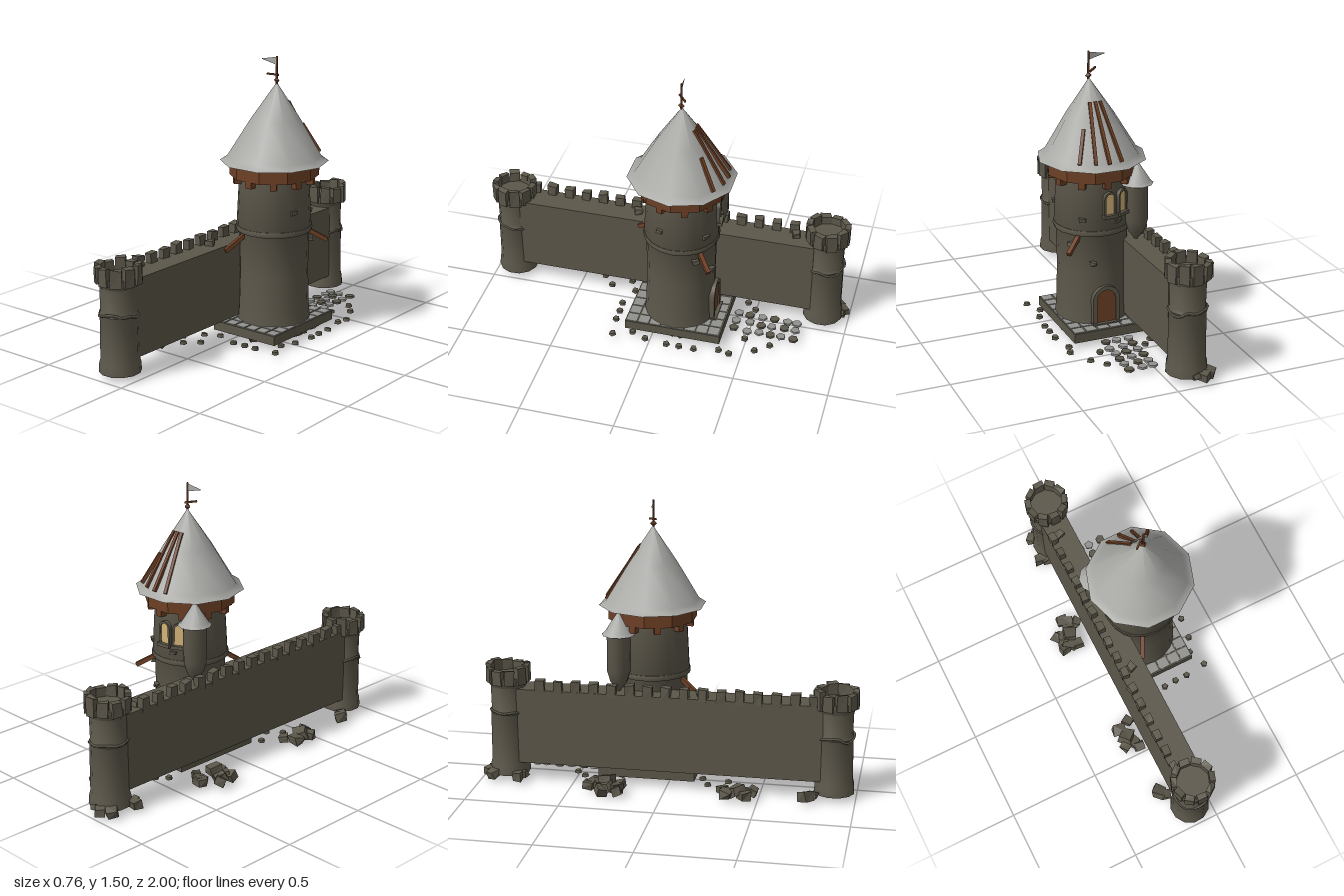
import * as THREE from 'three';
import { toCreasedNormals } from 'three/addons/utils/BufferGeometryUtils.js';

const paint = (name, color, extra = {}) => Object.assign(new THREE.MeshStandardMaterial({ color, ...extra }), { name });

export function createModel() {
  const stone = paint('stone', 0x5c574a);
  const paleStone = paint('pale stone', 0x91918e);
  const slate = paint('pale roof', 0xa9a9a6, { side: THREE.DoubleSide });
  const wood = paint('wood', 0x6e4025);
  const glow = paint('window glow', 0xd2b478);
  const root = new THREE.Group();
  root.name = 'castle';

  let seed = 7;
  const rnd = (a = 0, b = 1) => {
    seed = (seed * 16807) % 2147483647;
    return a + (b - a) * (seed / 2147483647);
  };
  const group = (name, parent = root, x = 0, y = 0, z = 0) => {
    const g = new THREE.Group();
    g.name = name;
    g.position.set(x, y, z);
    parent.add(g);
    return g;
  };
  const add = (parent, name, geo, mat, x = 0, y = 0, z = 0, rx = 0, ry = 0, rz = 0) => {
    const m = new THREE.Mesh(geo, mat);
    m.name = name;
    m.position.set(x, y, z);
    m.rotation.set(rx, ry, rz);
    parent.add(m);
    return m;
  };
  // Turned shape with crisp rims and smooth sides
  const turned = (pts, sides) => toCreasedNormals(
    new THREE.LatheGeometry(pts.map(p => new THREE.Vector2(...p)), sides, Math.PI / 10), 0.75);
  // Box whose eight corners are nudged for a rough-hewn look
  const roughBox = (w, h, d, amount = 0.15) => {
    const g = new THREE.BoxGeometry(w, h, d).toNonIndexed();
    const nudges = Array.from({ length: 8 }, () => [rnd(-1, 1), rnd(-1, 1), rnd(-1, 1)]);
    const p = g.attributes.position;
    for (let i = 0; i < p.count; i++) {
      const n = nudges[(p.getX(i) > 0 ? 1 : 0) + (p.getY(i) > 0 ? 2 : 0) + (p.getZ(i) > 0 ? 4 : 0)];
      p.setXYZ(i, p.getX(i) + n[0] * w * amount, p.getY(i) + n[1] * h * amount, p.getZ(i) + n[2] * d * amount);
    }
    g.computeVertexNormals();
    return g;
  };
  // Beam between two points
  const beam = (parent, name, a, b, t) => {
    const from = new THREE.Vector3(...a), to = new THREE.Vector3(...b);
    const m = add(parent, name, new THREE.BoxGeometry(t, t, from.distanceTo(to)), wood);
    m.position.copy(from).lerp(to, 0.5);
    m.lookAt(to);
    return m;
  };
  const archPath = (T, w, h) => {
    const s = new T();
    s.moveTo(-w, 0);
    s.lineTo(w, 0);
    s.lineTo(w, h - w);
    s.absarc(0, h - w, w, 0, Math.PI, false);
    s.lineTo(-w, 0);
    return s;
  };

  // Main tower: plinth, shaft, ring
  const keep = group('mainTower', root, 0.0875, 0, -0.115);
  add(keep, 'plinth', new THREE.BoxGeometry(0.405, 0.05, 0.52), stone, 0, 0.055, 0);
  for (let i = 0; i < 6; i++) for (let j = 0; j < 8; j++) {
    add(keep, 'plinthTile', new THREE.BoxGeometry(0.058, 0.006, 0.056), paleStone,
      -0.167 + i * 0.067, 0.081, -0.224 + j * 0.064);
  }
  add(keep, 'shaft', turned([[0, 0.08], [0.195, 0.08], [0.189, 0.15], [0.183, 0.35], [0.187, 0.58],
    [0.198, 0.6], [0.184, 0.87], [0, 0.87]], 20), stone);
  add(keep, 'stoneRing', turned([[0.18, 0.568], [0.2, 0.572], [0.204, 0.585], [0.2, 0.6], [0.18, 0.604]], 20), stone);

  // Wooden gallery on brackets
  const band = new THREE.CylinderGeometry(0.236, 0.236, 0.08, 10, 1, false, Math.PI / 10).toNonIndexed();
  band.computeVertexNormals();
  add(keep, 'woodenGallery', band, wood, 0, 0.907, 0);
  for (let i = 0; i < 10; i++) {
    const a = i * Math.PI / 5;
    add(keep, 'bracket', new THREE.BoxGeometry(0.035, 0.036, 0.06), wood,
      Math.sin(a) * 0.19, 0.85, Math.cos(a) * 0.19, 0, a, 0);
  }

  // Conical roof with a slightly leaning tip
  const roof = new THREE.LatheGeometry([[0.285, 0.943], [0.247, 0.968], [0.13, 1.165], [0, 1.36]]
    .map(p => new THREE.Vector2(...p)), 10, Math.PI / 10);
  const rp = roof.attributes.position;
  for (let i = 0; i < rp.count; i++) rp.setX(i, rp.getX(i) + 0.014 * (rp.getY(i) - 0.943) / 0.417);
  add(keep, 'roof', roof, slate);

  // Planks patching the roof
  [[[0.02, 0.975, -0.35], [0.072, 1.25, -0.183]], [[0.09, 0.975, -0.362], [0.097, 1.25, -0.183]],
    [[0.16, 0.975, -0.35], [0.125, 1.25, -0.183]], [[0.235, 0.975, -0.315], [0.18, 1.13, -0.235]]]
    .forEach(([a, b]) => beam(root, 'roofPlank', a, b, 0.017));
  beam(root, 'brokenBeam', [0.02, 0.56, 0.05], [-0.03, 0.485, 0.15], 0.022);
  beam(root, 'brokenBeam', [0.2, 0.57, -0.23], [0.295, 0.5, -0.31], 0.022);

  // Flag
  const flag = group('flag', root, 0.103, 0, -0.112);
  add(flag, 'finial', new THREE.OctahedronGeometry(0.018), wood, 0, 1.37, 0);
  add(flag, 'pole', new THREE.CylinderGeometry(0.005, 0.006, 0.145, 6), wood, 0, 1.424, 0);
  beam(flag, 'brokenPole', [0, 1.378, 0], [-0.048, 1.42, 0.002], 0.009);
  const cloth = new THREE.Shape([[0, 1.492], [-0.098, 1.474], [0, 1.45]].map(p => new THREE.Vector2(...p)));
  add(flag, 'pennant', new THREE.ShapeGeometry(cloth), slate, 0, 0, 0, 0, 0.08, 0);

  // Arched openings with stone surrounds
  const opening = (name, angle, r, y, w, h, t, mat) => {
    const g = group(name, keep, 0, y, 0);
    g.rotation.y = angle;
    const pane = { depth: 0.008, bevelEnabled: false, curveSegments: 8 };
    add(g, name + 'Pane', new THREE.ExtrudeGeometry(archPath(THREE.Shape, w, h), pane), mat, 0, 0, r - 0.003);
    const frame = archPath(THREE.Shape, w + t, h + t);
    frame.holes.push(archPath(THREE.Path, w, h).translateY ? null : archPath(THREE.Path, w, h));
    add(g, name + 'Frame', new THREE.ExtrudeGeometry(frame, { ...pane, depth: 0.04 }), stone, 0, 0, r - 0.028);
    add(g, name + 'Sill', new THREE.BoxGeometry(2 * (w + t) + 0.01, 0.018, 0.05), stone, 0, -0.008, r);
  };
  opening('window', Math.PI + 0.1, 0.192, 0.685, 0.024, 0.11, 0.011, glow);
  opening('window', Math.PI + 0.52, 0.192, 0.685, 0.024, 0.11, 0.011, glow);
  opening('door', Math.PI, 0.188, 0.09, 0.052, 0.18, 0.022, wood);
  // Loose blocks standing proud of the shaft
  [[2.5, 0.66], [2.2, 0.52], [1.2, 0.7], [3.5, 0.64], [2.8, 0.42]].forEach(([a, y]) =>
    add(keep, 'proudBlock', roughBox(0.035, 0.022, 0.03), stone, Math.sin(a) * 0.19, y, Math.cos(a) * 0.19, 0, a, 0));

  // Small side turret
  const turret = group('turret', root, -0.1, 0, -0.26);
  add(turret, 'turretBody', turned([[0, 0.5], [0.045, 0.56], [0.062, 0.62], [0.062, 0.83], [0, 0.83]], 10), stone);
  add(turret, 'turretRoof', new THREE.LatheGeometry([[0.088, 0.818], [0.072, 0.832], [0, 0.945]]
    .map(p => new THREE.Vector2(...p)), 10), slate);

  // Curtain wall with battlements on the outer edge
  const wall = group('curtainWall');
  add(wall, 'wallBody', new THREE.BoxGeometry(0.145, 0.41, 1.64), stone, -0.107, 0.305, 0.02);
  for (let i = 0; i < 16; i++) {
    add(wall, 'merlon', roughBox(0.038, rnd(0.06, 0.075), 0.048, 0.08), stone,
      -0.162, 0.528, 0.775 - i * 0.0965, 0, rnd(-0.12, 0.12), 0);
  }
  add(wall, 'fallenBlock', roughBox(0.04, 0.03, 0.04), stone, -0.11, 0.52, 0.175, 0, 0.3, 0);
  add(wall, 'fallenBlock', roughBox(0.05, 0.03, 0.04), stone, -0.12, 0.52, -0.69, 0, 0.2, 0);

  // Corner towers
  const cornerTower = (z, top, crackY) => {
    const g = group('cornerTower', root, -0.11, 0, z);
    add(g, 'towerBody', turned([[0, 0.03], [0.108, 0.03], [0.105, 0.075], [0.098, 0.1], [0.096, crackY - 0.01],
      [0.1, crackY], [0.092, crackY + 0.015], [0.095, top], [0, top]], 12), stone);
    // Jagged crack line around the shaft
    const loop = Array.from({ length: 14 }, (_, i) => {
      const a = i * Math.PI / 7;
      return new THREE.Vector3(Math.sin(a) * 0.097, crackY + rnd(-0.016, 0.016), Math.cos(a) * 0.097);
    });
    add(g, 'crackLedge', new THREE.TubeGeometry(new THREE.CatmullRomCurve3(loop, true), 42, 0.007, 4, true), stone);
    add(g, 'towerPlatform', turned([[0, top - 0.03], [0.097, top - 0.03], [0.11, top], [0.11, top + 0.025], [0, top + 0.025]], 10), stone);
    for (let i = 0; i < 10; i++) {
      const a = i * Math.PI / 5, h = rnd(0.075, 0.1);
      add(g, 'towerMerlon', roughBox(0.054, h, 0.032, 0.07), stone,
        Math.sin(a) * 0.1, top - 0.01 + h / 2, Math.cos(a) * 0.1, 0, a + rnd(-0.08, 0.08), 0);
    }
  };
  cornerTower(0.885, 0.505, 0.335);
  cornerTower(-0.86, 0.545, 0.37);

  // Rubble heaps: x, z, size, height
  const rubble = group('rubble');
  [[-0.27, -0.39, 0.05], [-0.25, -0.37, 0.05], [-0.34, -0.31, 0.05], [-0.31, -0.29, 0.055, 0.05], [-0.29, -0.25, 0.06],
    [-0.33, -0.23, 0.05], [-0.27, -0.29, 0.06, 0.07], [-0.25, -0.23, 0.05], [-0.2, -0.35, 0.045], [-0.27, 0.34, 0.055],
    [-0.25, 0.39, 0.065, 0.05], [-0.27, 0.43, 0.055], [-0.21, 0.47, 0.045], [-0.2, 0.31, 0.045], [-0.23, 0.43, 0.05],
    [-0.23, 0.75, 0.06], [-0.2, 0.78, 0.045], [-0.155, -0.965, 0.05], [-0.2, -0.93, 0.05], [-0.22, -0.79, 0.05],
    [-0.19, -0.77, 0.04], [-0.12, -0.955, 0.04]]
    .forEach(([x, z, s, y = 0.036]) => add(rubble, 'rubbleBlock', roughBox(s, s * 0.8, s * 1.1, 0.14), stone,
      x, y, z, rnd(-0.4, 0.4), rnd(0, 3), rnd(-0.4, 0.4)));

  // Paving leading to the door
  const path = group('path');
  for (let j = 0; j < 6; j++) for (let i = 0; i < 3; i++) {
    add(path, 'pavingStone', new THREE.CylinderGeometry(0.026, 0.026, 0.012, 5 + (i + j) % 2),
      (i * 2 + j * 3) % 5 < 3 ? paleStone : stone,
      0.015 + i * 0.064 + rnd(-0.008, 0.008), 0.03, -0.425 - j * 0.065 + rnd(-0.008, 0.008), 0, rnd(0, 3), 0);
  }
  // Pebbles strewn around the plinth
  [[0.22, -0.635], [0.28, -0.565], [0.2, -0.495], [0.34, -0.44], [0.325, -0.38], [0.35, -0.25], [0.35, -0.17], [0.35, -0.1],
    [0.335, 0.02], [0.34, 0.2], [0.08, 0.22], [0.15, 0.215], [0.22, 0.215], [0.3, 0.1], [-0.04, 0.18], [-0.12, 0.22],
    [-0.06, 0.32], [-0.13, 0.38], [-0.1, -0.45], [-0.05, -0.5]]
    .forEach(([x, z]) => add(path, 'pebble', new THREE.CylinderGeometry(0.017, 0.02, 0.016, 5), stone,
      x, 0.022, z, rnd(-0.15, 0.15), rnd(0, 3), 0));

  // Low footing stones below the plinth
  for (let i = 0; i < 14; i++) {
    add(rubble, 'footingStone', roughBox(0.045, 0.025, 0.045, 0.2), stone,
      rnd(-0.08, 0.26), 0.023, rnd(-0.36, 0.12), rnd(-0.2, 0.2), rnd(0, 3), 0);
  }
  return root;
}
